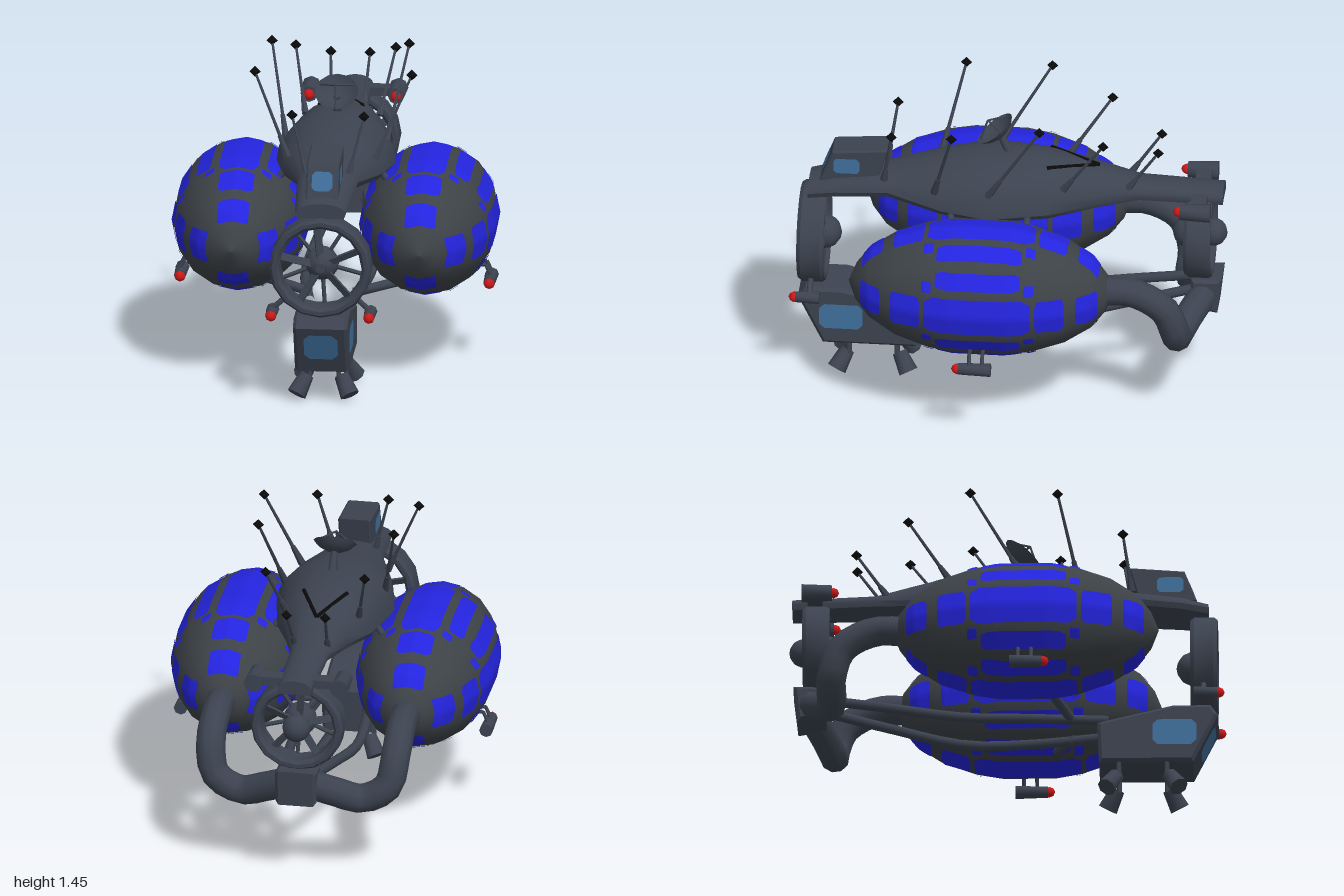
import * as THREE from 'three';
import { toCreasedNormals } from 'three/addons/utils/BufferGeometryUtils.js';

const V = (x, y, z) => new THREE.Vector3(x, y, z);

export function createModel() {
  const root = new THREE.Group();
  const mat = (name, color, side = THREE.FrontSide) => {
    const m = new THREE.MeshStandardMaterial({ color, side });
    m.name = name;
    return m;
  };
  const steel = mat('slate steel', 0x3c4350);
  const skin = mat('envelope grey', 0x3d4247);
  const blue = mat('panel blue', 0x2424e0);
  const glass = mat('window blue', 0x3f709c, THREE.DoubleSide);
  const red = mat('lamp red', 0xd01a1a);
  const black = mat('black', 0x0a0a0a);
  const dishSteel = mat('dish steel', 0x3c4350, THREE.DoubleSide);

  const add = (name, geo, m, parent = root) => {
    const mesh = new THREE.Mesh(geo, m);
    mesh.name = name;
    parent.add(mesh);
    return mesh;
  };
  const crease = (g, a = 0.5) => toCreasedNormals(g, a);
  // tapered rod from a to b
  const rod = (name, a, b, r0, r1 = r0, m = steel, sides = 8, parent = root) => {
    const d = b.clone().sub(a);
    const mesh = add(name, crease(new THREE.CylinderGeometry(r1, r0, d.length(), sides), 0.9), m, parent);
    mesh.position.copy(a).addScaledVector(d, 0.5);
    mesh.quaternion.setFromUnitVectors(V(0, 1, 0), d.normalize());
    return mesh;
  };
  const box = (name, w, h, d, x, y, z, m = steel) => {
    const mesh = add(name, new THREE.BoxGeometry(w, h, d), m);
    mesh.position.set(x, y, z);
    return mesh;
  };
  // side outline given as [z, y], extruded across x
  const sideExtrude = (pts, width, bevel) => {
    const g = new THREE.ExtrudeGeometry(new THREE.Shape(pts.map(p => new THREE.Vector2(...p))), {
      depth: width - 2 * bevel, bevelEnabled: bevel > 0, bevelSize: bevel, bevelOffset: -bevel,
      bevelThickness: bevel, bevelSegments: 1 });
    return g.translate(0, 0, -(width - 2 * bevel) / 2).rotateY(-Math.PI / 2);
  };
  // rounded-corner window pane
  const pane = (w, h) => {
    const c = 0.18 * Math.min(w, h), a = w / 2, b = h / 2;
    return new THREE.ShapeGeometry(new THREE.Shape([[-a + c, -b], [a - c, -b], [a, -b + c], [a, b - c],
      [a - c, b], [-a + c, b], [-a, b - c], [-a, -b + c]].map(p => new THREE.Vector2(...p))));
  };

  // gas envelopes: lathed hull with raised panels
  const N = 16, MID = 0.09;
  const half = [[0, 0.61], [0.085, 0.575], [0.165, 0.51], [0.24, 0.39], [0.29, 0.24], [0.31, 0.12]];
  const profile = [...half.map(([r, z]) => [r, MID - z]), ...half.slice().reverse().map(([r, z]) => [r, MID + z])];
  const radiusAt = z => {
    const i = Math.max(1, profile.findIndex(p => p[1] >= z));
    const [r0, z0] = profile[i - 1], [r1, z1] = profile[i];
    return r0 + (r1 - r0) * (z - z0) / (z1 - z0);
  };
  const surface = (dir, w, z) => {
    const r = radiusAt(z), step = 2 * Math.PI / N;
    const t = dir + Math.asin(THREE.MathUtils.clamp(w / r, -0.95, 0.95));
    const m = THREE.MathUtils.euclideanModulo(t, step) - step / 2;
    const rr = r * Math.cos(step / 2) / Math.cos(m) + 0.005;
    return V(rr * Math.cos(t), rr * Math.sin(t), z);
  };
  const patch = (dir, wc, width, z0, z1) => {
    const g = new THREE.PlaneGeometry(1, 1, 8, 12), p = g.attributes.position;
    for (let i = 0; i < p.count; i++) {
      const u = p.getX(i), v = p.getY(i);
      const s = Math.abs(v) > 0.49 ? 0.72 : 1;
      const q = surface(dir, wc + u * width * s, z0 + (v + 0.5) * (z1 - z0));
      p.setXYZ(i, q.x, q.y, q.z);
    }
    g.computeVertexNormals();
    return g;
  };
  for (const s of [-1, 1]) {
    const env = new THREE.Group();
    env.name = s > 0 ? 'leftEnvelope' : 'rightEnvelope';
    env.position.set(s * 0.43, 0.68, 0);
    root.add(env);
    const pts = profile.map(([r, z]) => new THREE.Vector2(r, z));
    add('envelopeSkin', new THREE.LatheGeometry(pts, N).rotateX(Math.PI / 2), skin, env);
    for (let k = 0; k < 4; k++) {
      const dir = k * Math.PI / 2;
      add('mainPanel', patch(dir, 0, 0.18, -0.16, 0.33), blue, env);
      for (const e of [-1, 1]) {
        add('sidePanel', patch(dir, e * 0.163, 0.07, -0.11, 0.28), blue, env);
        add('endPanel', patch(dir, 0, 0.16, ...(e > 0 ? [0.35, 0.49] : [-0.31, -0.18])), blue, env);
        add('tipPanel', patch(dir, 0, 0.14, ...(e > 0 ? [0.54, 0.635] : [-0.455, -0.36])), blue, env);
        for (const z of [-0.15, 0.32]) add('cornerDot', patch(dir, e * 0.13, 0.045, z - 0.022, z + 0.022), blue, env);
      }
    }
  }

  // upper deck: arched crescent sections [z, halfWidth, top, edge, underside]
  const stations = [[-0.985, 0.08, 1.035, 0.99, 0.97], [-0.6, 0.09, 1.05, 1.0, 0.98], [-0.42, 0.14, 1.1, 0.98, 1.0],
    [-0.2, 0.22, 1.15, 0.95, 1.04], [0.08, 0.275, 1.165, 0.94, 1.06], [0.3, 0.23, 1.12, 0.95, 1.03],
    [0.55, 0.14, 1.05, 0.98, 0.98], [0.8, 0.125, 1.02, 0.96, 0.94], [0.92, 0.115, 0.985, 0.94, 0.915]];
  const K = 11, M = 2 * K, pos = [], idx = [];
  stations.forEach(([z, hw, top, edge, under], i) => {
    for (let j = 0; j < M; j++) {
      const inner = j >= K, a = Math.PI * (inner ? M - 1 - j : j) / (K - 1), low = edge - 0.025;
      pos.push(Math.cos(a) * hw * (inner ? 0.92 : 1), inner ? low + (under - low) * Math.sin(a) : edge + (top - edge) * Math.sin(a), z);
      if (i < stations.length - 1) {
        const p = i * M + j, q = i * M + (j + 1) % M;
        idx.push(p, q, q + M, p, q + M, p + M);
      }
    }
  });
  const last = (stations.length - 1) * M;
  for (let k = 0; k < K - 1; k++) {
    const a = k, b = k + 1, c = M - 2 - k, d = M - 1 - k;
    idx.push(last + a, last + b, last + c, last + a, last + c, last + d, a, c, b, a, d, c);
  }
  const deck = new THREE.BufferGeometry();
  deck.setAttribute('position', new THREE.Float32BufferAttribute(pos, 3));
  deck.setIndex(idx);
  add('upperDeck', crease(deck, 0.6), steel);

  // upper cabin with windows
  add('upperCabin', crease(sideExtrude([[0.87, 0.99], [0.81, 1.145], [0.555, 1.165], [0.6, 1.0]], 0.15, 0.008)), steel);
  const upperFront = add('upperFrontWindow', pane(0.095, 0.09), glass);
  upperFront.position.set(0, 1.07, 0.843);
  upperFront.rotation.x = -0.37;

  // lower cabin with windows
  add('lowerCabin', crease(sideExtrude([[0.85, 0.165], [0.965, 0.4], [0.93, 0.45], [0.76, 0.45], [0.41, 0.365], [0.42, 0.165]], 0.25, 0.015)), steel);
  const lowerFront = add('lowerFrontWindow', pane(0.155, 0.145), glass);
  lowerFront.position.set(0, 0.3, 0.92);
  lowerFront.rotation.x = 0.455;

  // ducted fans
  const fan = (name, y, z, R, dir) => {
    const g = new THREE.Group();
    g.name = name;
    g.position.set(0, y, z);
    g.scale.z = dir;
    root.add(g);
    const duct = [[R - 0.045, -0.045], [R - 0.03, -0.062], [R - 0.012, -0.062], [R, -0.045], [R, 0.045],
      [R - 0.012, 0.062], [R - 0.03, 0.062], [R - 0.045, 0.045], [R - 0.045, -0.045]];
    add('fanDuct', crease(new THREE.LatheGeometry(duct.map(p => new THREE.Vector2(...p)), 16).rotateX(Math.PI / 2), 0.6), steel, g);
    const motor = add('fanMotor', new THREE.SphereGeometry(0.078, 12, 8), steel, g);
    motor.position.z = -0.05;
    rod('fanHub', V(0, 0, -0.03), V(0, 0, 0.045), 0.035, 0.025, steel, 8, g);
    for (let i = 0; i < 5; i++) {
      const a = Math.PI / 2 + i * Math.PI * 0.4 + 0.1;
      const blade = add('fanBlade', new THREE.BoxGeometry(R - 0.04, 0.035, 0.01).translate((R - 0.04) / 2, 0, 0), steel, g);
      blade.rotation.set(0.5, 0, a, 'ZXY');
      rod('motorStrut', V(0, 0, -0.05), V(Math.cos(a + 0.6) * (R - 0.03), Math.sin(a + 0.6) * (R - 0.03), -0.04), 0.01, 0.01, steel, 6, g);
    }
  };
  fan('frontFan', 0.685, 0.9, 0.235, 1);
  fan('rearFan', 0.78, -0.875, 0.215, -1);
  const rearCap = add('rearMotorCap', new THREE.SphereGeometry(0.065, 12, 8), steel);
  rearCap.position.set(0, 0.78, -0.935);

  // junction box where the exhaust pipes meet
  add('rearJunction', crease(sideExtrude([[-0.83, 0.42], [-0.84, 0.57], [-0.98, 0.575], [-0.96, 0.4]], 0.19, 0.015)), steel);

  // lamp: housing along z with a red tip
  const lamp = (x, y, z, len, r) => {
    rod('lampHousing', V(x, y, z - len), V(x, y, z), r, r * 0.85, steel, 8);
    const tip = add('lampTip', new THREE.OctahedronGeometry(0.026, 1), red);
    tip.position.set(x, y, z + 0.006);
  };
  const antennas = [[0.1, 1.03, 0.57, 0.165, 1.29, 0.53], [0.2, 1.03, 0.33, 0.36, 1.405, 0.235], [0.23, 1.04, 0.08, 0.315, 1.435, -0.165],
    [0.17, 1.06, -0.26, 0.23, 1.33, -0.45], [0.075, 1.03, -0.55, 0.09, 1.23, -0.69]];

  for (const s of [-1, 1]) {
    // side windows
    const up = add('upperSideWindow', pane(0.12, 0.075), glass);
    up.position.set(s * 0.078, 1.075, 0.745);
    up.rotation.y = s * Math.PI / 2;
    const lo = add('lowerSideWindow', pane(0.2, 0.125), glass);
    lo.position.set(s * 0.128, 0.31, 0.765);
    lo.rotation.y = s * Math.PI / 2;

    // exhaust pipe from the envelope down to the junction
    const path = new THREE.CatmullRomCurve3([V(s * 0.43, 0.68, -0.42), V(s * 0.43, 0.685, -0.6), V(s * 0.43, 0.6, -0.75),
      V(s * 0.4, 0.46, -0.8), V(s * 0.28, 0.39, -0.8), V(s * 0.17, 0.43, -0.84), V(s * 0.05, 0.49, -0.9)]);
    add('exhaustPipe', new THREE.TubeGeometry(path, 18, 0.068, 10), steel);

    // keel beams
    const keel = new THREE.CatmullRomCurve3([V(s * 0.09, 0.385, 0.46), V(s * 0.14, 0.375, 0.1), V(s * 0.15, 0.38, -0.2),
      V(s * 0.11, 0.45, -0.55), V(s * 0.06, 0.52, -0.88)]);
    add('keelBeam', new THREE.TubeGeometry(keel, 14, 0.024, 8), steel);
    rod('keelBrace', V(s * 0.1, 0.38, 0.3), V(s * 0.34, 0.42, 0.2), 0.022);

    // hangers between deck and envelope
    for (const z of [-0.1, 0.25]) rod('hanger', V(s * 0.2, 0.97, z), V(s * 0.27, 0.88, z), 0.016);

    // lamps at the front fan, tail and envelope
    lamp(s * 0.225, 0.46, 0.965, 0.11, 0.03);
    rod('lampBracket', V(s * 0.225, 0.475, 0.9), V(s * 0.165, 0.53, 0.9), 0.013);
    lamp(s * 0.2, 0.99, -0.8, 0.14, 0.045);
    box('tailArm', 0.14, 0.04, 0.07, s * 0.13, 0.995, -0.88);
    lamp(s * 0.71, 0.4, 0.17, 0.15, 0.032);
    for (const z of [0.06, 0.12]) {
      rod('lampStrutUpper', V(s * 0.72, 0.41, z), V(s * 0.69, 0.475, z), 0.009);
      rod('lampStrutInner', V(s * 0.69, 0.475, z), V(s * 0.63, 0.47, z), 0.009);
    }

    // landing legs with splayed feet
    for (const [z, e] of [[0.73, 1], [0.51, -1]]) {
      for (const dx of [-0.018, 0.018]) rod('legStrut', V(s * (0.085 + dx), 0.19, z), V(s * (0.085 + dx), 0.09, z), 0.011);
      rod('foot', V(s * 0.08, 0.115, z + e * 0.01), V(s * 0.122, 0.035, z + e * 0.055), 0.034, 0.045, steel, 8);
    }

    // antennas with black tips
    for (const [x, y, z, tx, ty, tz] of antennas) {
      const a = V(s * x, y, z), b = V(s * tx, ty, tz);
      rod('antennaBase', a, a.clone().lerp(b, 0.25), 0.018, 0.011, steel, 6);
      rod('antenna', a, b, 0.009, 0.006, steel, 6);
      add('antennaTip', new THREE.OctahedronGeometry(0.026), black).position.copy(b);
    }

    // dark chevron on the deck
    rod('deckChevron', V(0, 1.104, -0.41), V(s * 0.1, 1.129, -0.18), 0.01, 0.01, black, 6);
  }

  // dish on a short mast, tilted forward
  rod('dishMast', V(0, 1.14, 0), V(0, 1.24, 0.045), 0.022, 0.015);
  const dish = new THREE.Group();
  dish.name = 'dish';
  dish.position.set(0, 1.23, 0.04);
  dish.rotation.x = 0.67;
  root.add(dish);
  const bowl = [[0, 0], [0.04, 0.007], [0.075, 0.024], [0.1, 0.048]].map(p => new THREE.Vector2(...p));
  add('dishBowl', new THREE.LatheGeometry(bowl, 14), dishSteel, dish);
  for (let i = 0; i < 3; i++) {
    const a = i * Math.PI * 2 / 3 + Math.PI / 2;
    rod('feedStrut', V(Math.cos(a) * 0.09, 0.04, Math.sin(a) * 0.09), V(0, 0.1, 0), 0.005, 0.005, steel, 5, dish);
  }
  return root;
}
